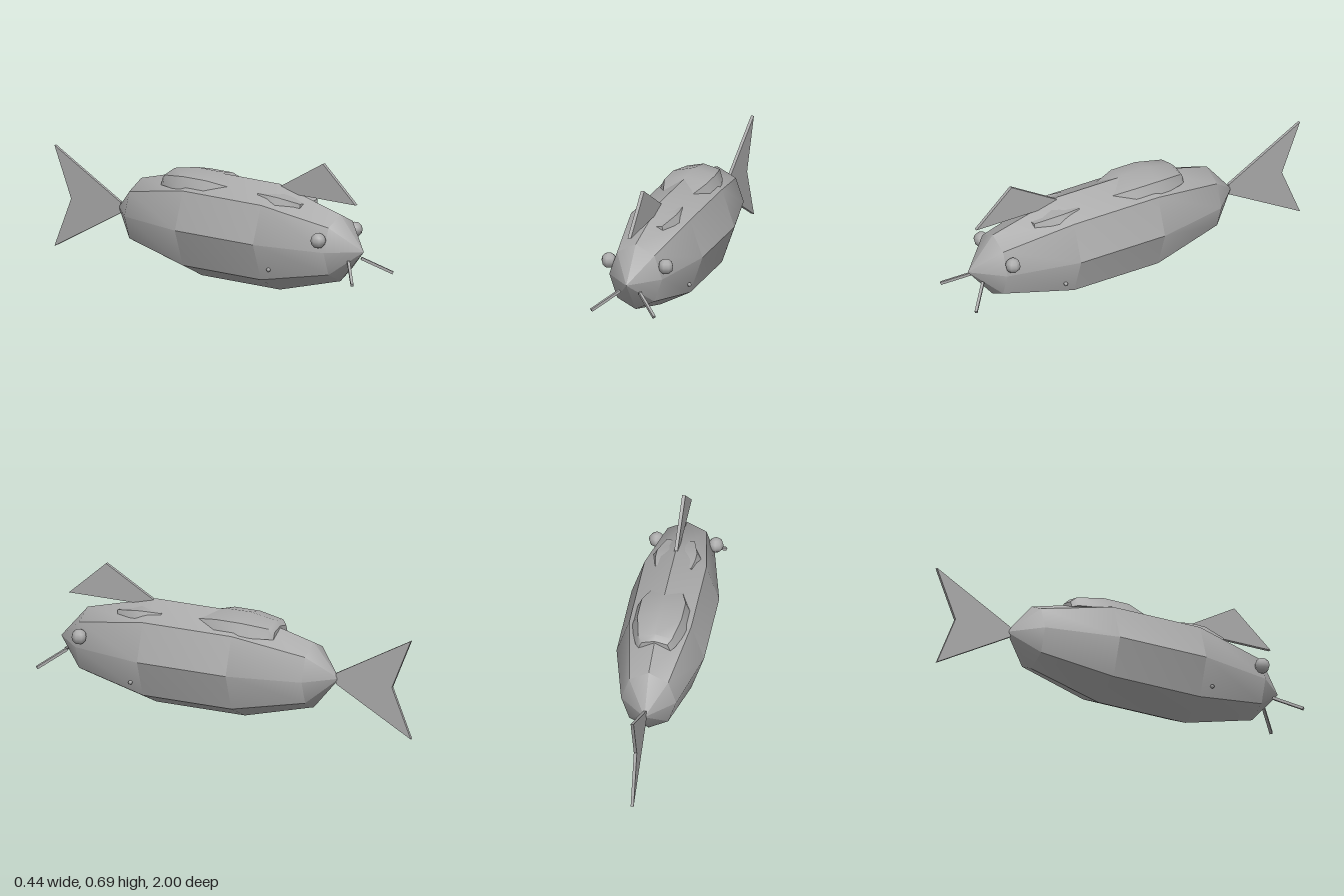
import * as THREE from 'three';
import { toCreasedNormals } from 'three/addons/utils/BufferGeometryUtils.js';

const CREASE = THREE.MathUtils.degToRad(37.4);

// Skin a list of [z, ring] sections, ordered front to back.
// Each ring runs counter-clockwise seen from the front; both ends are capped.
function loft(sections) {
  const n = sections[0][1].length;
  const positions = [];
  const index = [];
  sections.forEach(([z, ring]) => ring.forEach(([x, y]) => positions.push(x, y, z)));
  for (let i = 0; i < sections.length - 1; i++) {
    for (let j = 0; j < n; j++) {
      const a = i * n + j;
      const b = i * n + (j + 1) % n;
      index.push(a, a + n, b, b, a + n, b + n);
    }
  }
  const last = (sections.length - 1) * n;
  for (let j = 1; j < n - 1; j++) {
    index.push(0, j, j + 1, last, last + j + 1, last + j);
  }
  const geometry = new THREE.BufferGeometry();
  geometry.setAttribute('position', new THREE.Float32BufferAttribute(positions, 3));
  geometry.setIndex(index);
  return toCreasedNormals(geometry, CREASE);
}

// Mirror a right-to-centre half profile into a full ring, from low side over the top
function arch(low, shoulder, top) {
  return [low, shoulder, [0, top], [-shoulder[0], shoulder[1]], [-low[0], low[1]]];
}

// Thin fin from a side outline of [z, y] points
function fin(points, thickness) {
  const shape = new THREE.Shape(points.map(([z, y]) => new THREE.Vector2(-z, y)));
  const geometry = new THREE.ExtrudeGeometry(shape, { depth: thickness, bevelEnabled: false });
  geometry.translate(0, 0, -thickness / 2);
  geometry.rotateY(Math.PI / 2);
  return geometry;
}

export function createModel() {
  const model = new THREE.Group();
  model.name = 'fishCraft';
  const grey = new THREE.MeshStandardMaterial({ color: 0xaaaaaa });
  grey.name = 'grey';

  const add = (name, geometry) => {
    const mesh = new THREE.Mesh(geometry, grey);
    mesh.name = name;
    model.add(mesh);
    return mesh;
  };

  // Eight-sided hull tapering to a point at both ends
  const hullRing = (s) => [
    [0.22, 0], [0.155, 0.19], [0, 0.27], [-0.155, 0.19],
    [-0.22, 0], [-0.155, -0.19], [0, -0.27], [0.155, -0.19],
  ].map(([x, y]) => [x * s, 0.272 + y * s]);
  add('hull', loft([
    [0.935, 0.004], [0.79, 0.63], [0.41, 1], [-0.08, 1], [-0.46, 0.63], [-0.6, 0.004],
  ].map(([z, s]) => [z, hullRing(s)])));

  // Raised canopy on the rear of the back
  add('rearCanopy', loft([
    [0.2, arch([0.08, 0.44], [0.06, 0.49], 0.5)],
    [0.03, arch([0.14, 0.455], [0.11, 0.522], 0.548)],
    [-0.11, arch([0.14, 0.455], [0.11, 0.522], 0.55)],
    [-0.25, arch([0.1, 0.455], [0.085, 0.505], 0.525)],
    [-0.275, arch([0.08, 0.45], [0.065, 0.485], 0.5)],
  ]));

  // Low cowl either side of the front fin
  add('frontCowl', loft([
    [0.59, arch([0.075, 0.445], [0.07, 0.478], 0.47)],
    [0.47, arch([0.128, 0.45], [0.1, 0.5], 0.51)],
    [0.41, arch([0.122, 0.455], [0.1, 0.502], 0.51)],
    [0.34, arch([0.108, 0.455], [0.09, 0.5], 0.505)],
  ]));

  // Fins
  add('topFin', fin([[0.89, 0.505], [0.37, 0.505], [0.685, 0.687]], 0.017));
  add('tailFin', fin([
    [-0.585, 0.245], [-0.585, 0.3], [-1, 0.53], [-0.895, 0.272], [-1, 0.015],
  ], 0.015));

  // Paired eyes, whiskers and side studs
  for (const side of [1, -1]) {
    const prefix = side > 0 ? 'left' : 'right';

    const eye = add(prefix + 'Eye', new THREE.SphereGeometry(0.039, 8, 6));
    eye.position.set(side * 0.149, 0.334, 0.765);

    const start = new THREE.Vector3(side * 0.052, 0.222, 0.88);
    const end = new THREE.Vector3(side * 0.165, 0.143, 0.99);
    const whisker = add(prefix + 'Whisker',
      new THREE.BoxGeometry(0.014, 0.014, start.distanceTo(end)));
    whisker.position.copy(start).add(end).multiplyScalar(0.5);
    whisker.lookAt(end);

    const stud = add(prefix + 'Stud', new THREE.SphereGeometry(0.011, 6, 4));
    stud.position.set(side * 0.172, 0.145, 0.47);
  }

  return model;
}
